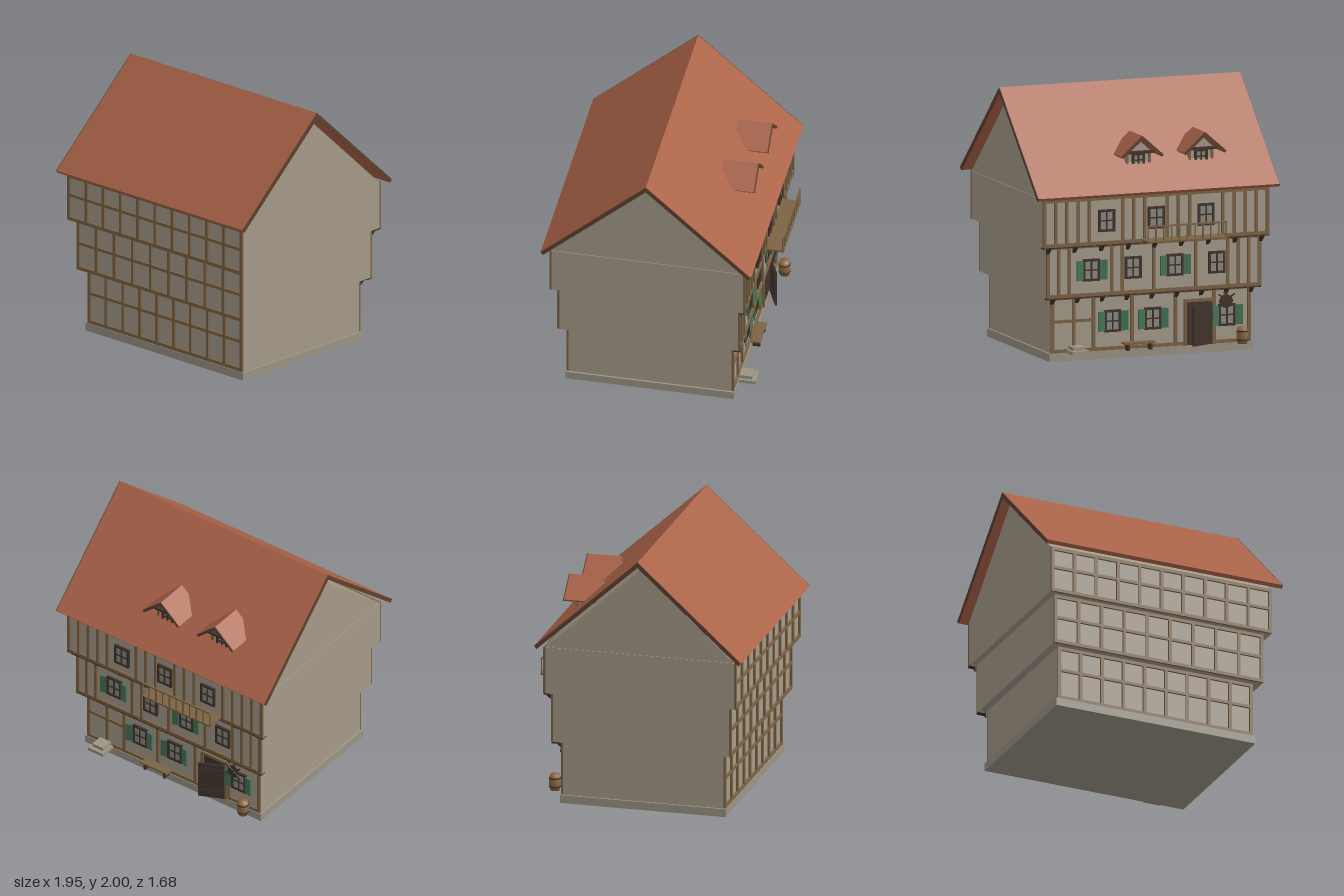
import * as THREE from 'three';

const mat = (name, color, extra = {}) => {
  const m = new THREE.MeshStandardMaterial({ color, ...extra });
  m.name = name;
  return m;
};

export function createModel() {
  const wall = mat('plaster', 0xa59b8a);
  const roofRed = mat('roof tile', 0xaa6348);
  const timber = mat('timber', 0x7c6344);
  const dark = mat('dark wood', 0x40322c);
  const verge = mat('verge board', 0x60402f);
  const green = mat('shutter green', 0x467556);
  const stone = mat('stone', 0x9c9585);
  const glass = mat('window pane', 0x8b8a80);
  const cask = mat('barrel wood', 0x8d6a44);

  const house = new THREE.Group();
  house.name = 'timberHouse';

  const group = (name, parent = house) => {
    const g = new THREE.Group();
    g.name = name;
    parent.add(g);
    return g;
  };
  const add = (name, geo, m, parent) => {
    const mesh = new THREE.Mesh(geo, m);
    mesh.name = name;
    parent.add(mesh);
    return mesh;
  };
  const box = (name, m, w, h, d, x, y, z, parent = house) => {
    const mesh = add(name, new THREE.BoxGeometry(w, h, d), m, parent);
    mesh.position.set(x, y, z);
    return mesh;
  };
  const extrude = (pts, depth) => {
    const shape = new THREE.Shape(pts.map(p => new THREE.Vector2(p[0], p[1])));
    return new THREE.ExtrudeGeometry(shape, { depth, bevelEnabled: false });
  };
  // Profile of (z, y) points extruded along x, centred on x
  const extrudeX = (name, m, pts, w, x, parent = house) => {
    const geo = extrude(pts.map(([z, y]) => [-z, y]), w);
    geo.translate(0, 0, -w / 2).rotateY(Math.PI / 2).translate(x, 0, 0);
    return add(name, geo, m, parent);
  };

  // Plinth and three jettied storeys: half width, bottom, top, front z, back z
  box('plinth', stone, 1.64, 0.062, 1.29, 0, 0.031, 0.035);
  const storeys = [
    { hx: 0.805, y0: 0.062, y1: 0.49, zf: 0.675, zb: -0.605, bays: 9, rail: 0.30 },
    { hx: 0.863, y0: 0.49, y1: 0.885, zf: 0.735, zb: -0.667, bays: 9, rail: 0.70 },
    { hx: 0.91, y0: 0.885, y1: 1.25, zf: 0.785, zb: -0.715, bays: 10, rail: 1.085 },
  ];
  const B = 0.026, T = 0.016;
  const windows = [
    [[0.31, 0.283, 1], [-0.014, 0.283, 1], [-0.61, 0.275, 1]],
    [[0.505, 0.69, 1], [0.168, 0.69, 0], [-0.168, 0.69, 1], [-0.505, 0.69, 0]],
    [[0.4, 1.067, 0], [0, 1.067, 0], [-0.4, 1.067, 0]],
  ];

  // Window facing the back, with cross bars and optional open shutters
  const addWindow = (x, y, z, shutters, w = 0.115, h = 0.15, parent = house) => {
    const g = group('window', parent);
    g.position.set(x, y, z);
    box('pane', glass, w, h, 0.008, 0, 0, -0.002, g);
    for (const s of [-1, 0, 1]) {
      const t = s ? 0.018 : 0.01;
      box('windowUpright', dark, t, h + 0.018, 0.018, s * w / 2, 0, -0.005, g);
      box('windowBar', dark, w, t, 0.018, 0, s * h / 2, -0.005, g);
    }
    if (shutters) for (const s of [-1, 1]) {
      const p = box('shutter', green, 0.055, h, 0.012, s * (w / 2 + 0.037), 0, -0.016, g);
      p.rotation.y = s * 0.2;
    }
  };

  storeys.forEach(({ hx, y0, y1, zf, zb, bays, rail }, i) => {
    const g = group('storey' + (i + 1));
    const h = y1 - y0, yc = (y0 + y1) / 2;
    box('wall', wall, 2 * hx, h, zf - zb - 2 * T, 0, yc, (zf + zb) / 2, g);
    // Sill and head beams on front and back
    for (const z of [zf - T / 2, zb + T / 2]) {
      for (const y of [y0 + B / 2, y1 - B / 2])
        box('beam', timber, 2 * hx, B, T, 0, y, z, g);
      for (const s of [-1, 1])
        box('cornerPost', timber, B, h, T, s * (hx - B / 2), yc, z, g);
    }
    // Regular grid on the front
    box('frontRail', timber, 2 * hx, 0.022, T, 0, rail, zf - T / 2, g);
    for (let k = 1; k < bays; k++)
      box('frontPost', timber, 0.024, h, T, (hx - B / 2) * (2 * k / bays - 1), yc, zf - T / 2, g);
    // Back posts, close set between windows on the upper storeys
    if (i === 0) {
      for (const x of [0.62, 0.46, 0.15, -0.2, -0.51])
        box('backPost', timber, 0.024, h, T, x, yc, zb + T / 2, g);
      box('backRail', timber, 0.35, 0.022, T, 0.63, rail, zb + T / 2, g);
    } else {
      const n = 20;
      for (let k = 1; k < n; k++) {
        const x = (hx - B / 2) * (2 * k / n - 1);
        if (windows[i].every(([wx, , s]) => Math.abs(x - wx) > (s ? 0.13 : 0.085)))
          box('backPost', timber, 0.022, h, T, x, yc, zb + T / 2, g);
      }
      // Jetty beam and brackets beneath the overhang
      const below = storeys[i - 1], z1 = below.zb;
      box('jettyBeam', dark, 2 * hx, 0.012, 0.05, 0, y0 - 0.004, zb + 0.027, g);
      for (let k = 0; k < 9; k++)
        extrudeX('bracket', dark, [[z1, y0], [z1 - 0.05, y0], [z1 - 0.04, y0 - 0.02], [z1, y0 - 0.055]],
          0.026, (below.hx - 0.005) * (k / 4 - 1), g);
    }
    for (const [x, y, s] of windows[i]) addWindow(x, y, zb + T / 2, s);
  });

  // Gable block and main roof
  extrudeX('gable', wall, [[0.77, 1.25], [0.035, 1.92], [-0.7, 1.25]], 1.81, 0);
  const roofLine = [[0.84, 1.272], [0.035, 2], [-0.77, 1.272], [-0.75, 1.25], [0.035, 1.958], [0.82, 1.25]];
  extrudeX('roof', roofRed, roofLine, 1.934, 0);
  for (const s of [-1, 1]) extrudeX('vergeBoard', verge, roofLine, 0.006, s * 0.97);

  // Two dormers on the back slope
  for (const x of [-0.42, 0.085]) {
    const g = group('dormer');
    g.position.x = x;
    const body = extrude([[-0.1, 1.38], [0.1, 1.38], [0.1, 1.55], [0, 1.645], [-0.1, 1.55]], 0.17);
    add('dormerBody', body, wall, g).position.z = -0.55;
    const line = [[-0.17, 1.53], [0, 1.68], [0.17, 1.53], [0.157, 1.515], [0, 1.652], [-0.157, 1.515]];
    add('dormerRoof', extrude(line, 0.262), roofRed, g).position.z = -0.642;
    add('dormerVerge', extrude(line, 0.008), verge, g).position.z = -0.65;
    for (const s of [-1, 1]) box('dormerPost', timber, 0.02, 0.15, 0.016, s * 0.09, 1.46, -0.553, g);
    box('dormerBeam', dark, 0.24, 0.018, 0.04, 0, 1.545, -0.57, g);
    addWindow(0, 1.485, -0.552, false, 0.085, 0.09, g);
  }

  // Balcony with railing
  const balcony = group('balcony');
  box('balconyFloor', timber, 0.64, 0.014, 0.13, -0.2, 0.903, -0.78, balcony);
  box('balconyTopRail', timber, 0.64, 0.012, 0.012, -0.2, 1.022, -0.838, balcony);
  for (let k = 0; k <= 10; k++)
    box('baluster', timber, 0.01, 0.12, 0.008, 0.115 - k * 0.063, 0.965, -0.838, balcony);

  // Doorway with the leaf ajar
  const door = group('doorway');
  box('doorOpening', dark, 0.2, 0.33, 0.01, -0.385, 0.227, -0.603, door);
  for (const x of [-0.275, -0.495]) box('doorJamb', timber, 0.022, 0.34, 0.022, x, 0.23, -0.606, door);
  box('doorLintel', timber, 0.242, 0.022, 0.022, -0.385, 0.4, -0.606, door);
  const hinge = group('doorLeaf', door);
  hinge.position.set(-0.485, 0.22, -0.617);
  hinge.rotation.y = 0.42;
  box('leaf', dark, 0.2, 0.31, 0.014, 0.1, 0, 0, hinge);
  for (const y of [-0.1, 0.1]) box('leafBatten', dark, 0.18, 0.022, 0.022, 0.1, y, 0, hinge);

  // Plain sign board with bracket
  const sign = group('sign');
  const board = add('signBoard', new THREE.CylinderGeometry(0.055, 0.055, 0.014, 8), dark, sign);
  board.rotation.x = Math.PI / 2;
  board.position.set(-0.59, 0.385, -0.64);
  for (const s of [-1, 1]) box('signBar', dark, 0.16, 0.01, 0.01, -0.59, 0.395, -0.65, sign).rotation.z = s * 0.6;
  box('signArm', dark, 0.012, 0.012, 0.045, -0.59, 0.445, -0.622, sign);

  // Barrel with hoops
  const barrel = group('barrel');
  barrel.position.set(-0.705, 0.062, -0.68);
  const stave = [[0, 0], [0.036, 0], [0.044, 0.035], [0.046, 0.062], [0.044, 0.09], [0.036, 0.125], [0, 0.125]];
  add('staves', new THREE.LatheGeometry(stave.map(p => new THREE.Vector2(...p)), 14), cask, barrel);
  for (const y of [0.03, 0.095])
    add('hoop', new THREE.CylinderGeometry(0.0455, 0.0455, 0.01, 14), dark, barrel).position.y = y;

  // Stone steps and bench
  box('lowerStep', stone, 0.14, 0.026, 0.13, 0.62, 0.078, -0.683);
  box('upperStep', stone, 0.1, 0.028, 0.1, 0.62, 0.104, -0.668);
  const bench = group('bench');
  box('benchSeat', timber, 0.25, 0.014, 0.07, 0.12, 0.115, -0.655, bench);
  for (const x of [0.03, 0.21]) box('benchLeg', dark, 0.016, 0.05, 0.06, x, 0.085, -0.655, bench);

  return house;
}
